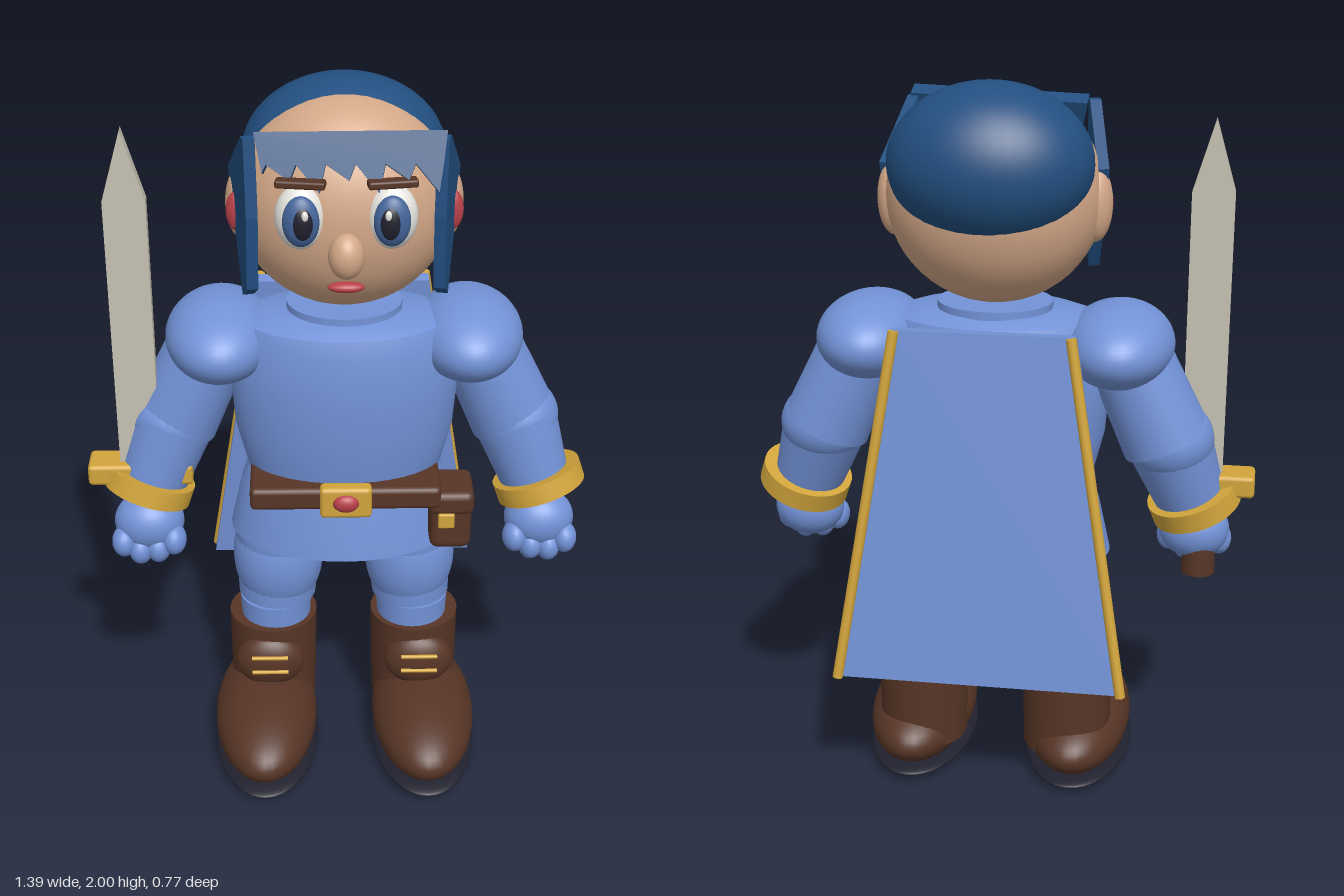
import * as THREE from 'three';
import { toCreasedNormals } from 'three/addons/utils/BufferGeometryUtils.js';
import { RoundedBoxGeometry } from 'three/addons/geometries/RoundedBoxGeometry.js';

const material = (name, color) => {
  const m = new THREE.MeshStandardMaterial({ color });
  m.name = name;
  return m;
};
const blue = material('blue cloth', 0x7393d8);
const skin = material('skin', 0xd4a888);
const hair = material('blue hair', 0x224f80);
const brown = material('brown leather', 0x573526);
const gold = material('gold', 0xd2a53c);
const red = material('red', 0xb8404a);
const white = material('eye white', 0xe8e6e0);
const dark = material('dark sole and pupil', 0x20212e);
const iris = material('iris blue', 0x44659a);
const steel = material('steel', 0xc6c1b3);

const V = (p) => new THREE.Vector3(...p);

function add(parent, name, geometry, mat, pos = [0, 0, 0]) {
  const mesh = new THREE.Mesh(geometry, mat);
  mesh.name = name;
  mesh.position.set(...pos);
  parent.add(mesh);
  return mesh;
}

function ellipsoid(parent, name, mat, pos, radii, segs = 32) {
  const mesh = add(parent, name, new THREE.SphereGeometry(1, segs, Math.round(segs * 0.7)), mat, pos);
  mesh.scale.set(...radii);
  return mesh;
}

// Tapered cylinder running from a to b
function rod(parent, name, mat, a, b, ra, rb) {
  const d = V(b).sub(V(a));
  const geo = new THREE.CylinderGeometry(rb, ra, d.length(), 28);
  const mesh = add(parent, name, geo, mat, V(a).addScaledVector(d, 0.5).toArray());
  mesh.quaternion.setFromUnitVectors(new THREE.Vector3(0, 1, 0), d.normalize());
  return mesh;
}

function box(parent, name, mat, pos, size, r = 0.01) {
  return add(parent, name, new RoundedBoxGeometry(...size, 2, r), mat, pos);
}

function plate(parent, name, mat, points, depth, pos) {
  const shape = new THREE.Shape(points.map((p) => new THREE.Vector2(...p)));
  return add(parent, name, new THREE.ExtrudeGeometry(shape, { depth, bevelEnabled: false }), mat, pos);
}

// Lathe squashed in depth to an oval section
function ovalLathe(parent, name, mat, profile, depthRatio, z) {
  const geo = new THREE.LatheGeometry(profile.map((p) => new THREE.Vector2(...p)), 40);
  const mesh = add(parent, name, toCreasedNormals(geo, 0.7), mat, [0, 0, z]);
  mesh.scale.z = depthRatio;
  return mesh;
}

// Builds one side and its mirror image
function pair(parent, name, build) {
  for (const s of [1, -1]) {
    const g = new THREE.Group();
    g.name = (s > 0 ? 'left ' : 'right ') + name;
    g.scale.x = s;
    build(g);
    parent.add(g);
  }
}

function buildHead(root) {
  ellipsoid(root, 'head', skin, [0, 1.695, -0.04], [0.287, 0.285, 0.235], 40);
  ellipsoid(root, 'hairCap', hair, [0, 1.79, -0.115], [0.268, 0.21, 0.22], 40);
  ellipsoid(root, 'nose', skin, [0, 1.635, 0.2], [0.046, 0.06, 0.046]);
  ellipsoid(root, 'mouth', red, [0, 1.535, 0.165], [0.047, 0.014, 0.02]);

  pair(root, 'face side', (g) => {
    ellipsoid(g, 'ear', skin, [0.265, 1.68, -0.05], [0.045, 0.1, 0.052]);
    ellipsoid(g, 'innerEar', red, [0.277, 1.675, -0.004], [0.03, 0.055, 0.022]);
    ellipsoid(g, 'eyeWhite', white, [0.113, 1.725, 0.16], [0.066, 0.085, 0.05]);
    ellipsoid(g, 'iris', iris, [0.113, 1.725, 0.19], [0.047, 0.067, 0.03]);
    ellipsoid(g, 'pupil', dark, [0.11, 1.725, 0.2], [0.032, 0.05, 0.024]);
    ellipsoid(g, 'eyeGlint', white, [0.103, 1.748, 0.217], [0.009, 0.014, 0.008], 16);
    const brow = box(g, 'eyebrow', brown, [0.113, 1.824, 0.19], [0.125, 0.02, 0.035], 0.006);
    brow.rotation.y = 0.15;
    // Pointed lock hanging beside the face
    const lock = plate(g, 'sideLock', hair,
      [[0.15, 1.92], [0.12, 1.92], [-0.07, 1.775], [-0.06, 1.745], [0.09, 1.48], [0.15, 1.52], [0.165, 1.72]],
      0.03, [0.285, 0, 0]);
    lock.rotation.y = -Math.PI / 2 - 0.22;
  });

  // Fringe with slanted saw-tooth tips
  const outline = [[-0.225, 0], [-0.205, -0.1]];
  const teeth = 6, step = 0.44 / teeth;
  for (let i = 0; i < teeth; i++) {
    const x = -0.2 + i * step;
    outline.push([x + 0.005, -0.08], [x + step * 0.85, i % 2 ? -0.15 : -0.12]);
  }
  outline.push([0.24, -0.08], [0.25, 0]);
  const fringe = plate(root, 'fringe', hair, outline.reverse(), 0.045, [0, 1.92, 0.095]);
  fringe.rotation.set(-0.42, -0.06, 0);
}

function buildBody(root) {
  ovalLathe(root, 'collar', blue, [[0.155, 1.33], [0.155, 1.41], [0, 1.41]], 0.85, -0.035);
  ovalLathe(root, 'torso', blue,
    [[0.25, 0.86], [0.275, 0.95], [0.3, 1.05], [0.31, 1.18], [0.305, 1.32], [0.28, 1.37], [0.22, 1.39], [0, 1.395]],
    0.62, -0.025);
  ovalLathe(root, 'tunicSkirt', blue, [[0, 0.705], [0.322, 0.705], [0.29, 0.85], [0.26, 0.94], [0, 0.95]], 0.7, -0.05);
  ellipsoid(root, 'hips', blue, [0, 0.74, -0.04], [0.15, 0.12, 0.13]);

  // Belt, buckle and pouch
  box(root, 'belt', brown, [0, 0.906, -0.015], [0.52, 0.066, 0.385], 0.015);
  box(root, 'buckle', gold, [0, 0.918, 0.195], [0.14, 0.092, 0.045], 0.012);
  ellipsoid(root, 'buckleGem', red, [0, 0.92, 0.213], [0.036, 0.027, 0.022]);
  box(root, 'pouch', brown, [0.29, 0.815, 0.09], [0.115, 0.17, 0.14], 0.025);
  box(root, 'pouchFlap', brown, [0.29, 0.88, 0.095], [0.125, 0.07, 0.15], 0.02);
  box(root, 'pouchClasp', gold, [0.276, 0.832, 0.165], [0.045, 0.045, 0.02], 0.005);

  // Stiff sloping cape with gold edging
  const cape = plate(root, 'cape', blue, [[-0.39, -0.965], [0.39, -0.965], [0.24, 0], [-0.24, 0]], 0.04, [0, 1.38, -0.26]);
  cape.rotation.x = 0.108;
  pair(root, 'cape edging', (g) => {
    rod(g, 'capeTrim', gold, [0.385, 0.42, -0.368], [0.23, 1.38, -0.268], 0.014, 0.014);
  });
}

function buildArm(g) {
  ellipsoid(g, 'shoulderPad', blue, [0.335, 1.305, -0.045], [0.148, 0.112, 0.213], 40);
  rod(g, 'upperArm', blue, [0.47, 1.04, -0.055], [0.36, 1.28, -0.055], 0.122, 0.112);
  ellipsoid(g, 'elbow', blue, [0.475, 1.045, -0.05], [0.122, 0.11, 0.12]);
  rod(g, 'forearm', blue, [0.553, 0.82, -0.005], [0.475, 1.04, -0.045], 0.09, 0.118);

  const ring = [[0.09, -0.028], [0.126, -0.028], [0.126, 0.028], [0.09, 0.028], [0.09, -0.028]];
  const geo = new THREE.LatheGeometry(ring.map((p) => new THREE.Vector2(...p)), 36);
  const bracelet = add(g, 'bracelet', toCreasedNormals(geo, 0.7), gold, [0.548, 0.857, -0.01]);
  bracelet.quaternion.setFromUnitVectors(new THREE.Vector3(0, 1, 0), V([-0.33, 0.93, -0.18]).normalize());

  ellipsoid(g, 'palm', blue, [0.55, 0.755, 0.025], [0.098, 0.085, 0.082]);
  [[0.48, 0.715], [0.525, 0.69], [0.575, 0.685], [0.62, 0.71]].forEach(([x, y]) =>
    ellipsoid(g, 'finger', blue, [x, y, 0.065], [0.035, 0.045, 0.045], 20));
}

function buildLeg(g) {
  ellipsoid(g, 'thigh', blue, [0.19, 0.6, -0.045], [0.13, 0.19, 0.13]);
  rod(g, 'trouserLeg', blue, [0.195, 0.47, -0.045], [0.185, 0.72, -0.045], 0.112, 0.128);
  rod(g, 'shin', blue, [0.2, 0.36, -0.045], [0.2, 0.46, -0.045], 0.1, 0.104);
  rod(g, 'bootShaft', brown, [0.21, 0.1, -0.052], [0.208, 0.395, -0.052], 0.124, 0.128);
  ellipsoid(g, 'bootFoot', brown, [0.232, 0.115, 0.077], [0.149, 0.11, 0.307], 40);
  ellipsoid(g, 'sole', dark, [0.232, 0.034, 0.08], [0.152, 0.027, 0.302], 40);
  ellipsoid(g, 'bootTongue', brown, [0.218, 0.28, 0.05], [0.1, 0.088, 0.055]);
  for (const y of [0.27, 0.32])
    rod(g, 'lace', gold, [0.165, y, 0.104], [0.27, y, 0.104], 0.006, 0.006);
}

function buildSword(root) {
  const g = new THREE.Group();
  g.name = 'sword';
  g.position.set(-0.566, 0, 0);
  plate(g, 'blade', steel, [[-0.056, 0.92], [0.056, 0.92], [0.056, 1.71], [0, 1.9], [-0.056, 1.71]], 0.036, [0, 0, -0.018]);
  box(g, 'crossGuard', gold, [0, 0.91, -0.002], [0.29, 0.062, 0.1], 0.012);
  rod(g, 'grip', brown, [0, 0.635, 0], [0, 0.9, 0], 0.047, 0.04);
  root.add(g);
}

export function createModel() {
  const model = new THREE.Group();
  model.name = 'swordsman';
  const root = new THREE.Group();
  root.name = 'figure';
  root.position.x = 0.012;
  model.add(root);
  buildHead(root);
  buildBody(root);
  pair(root, 'arm', buildArm);
  pair(root, 'leg', buildLeg);
  buildSword(root);
  return model;
}
